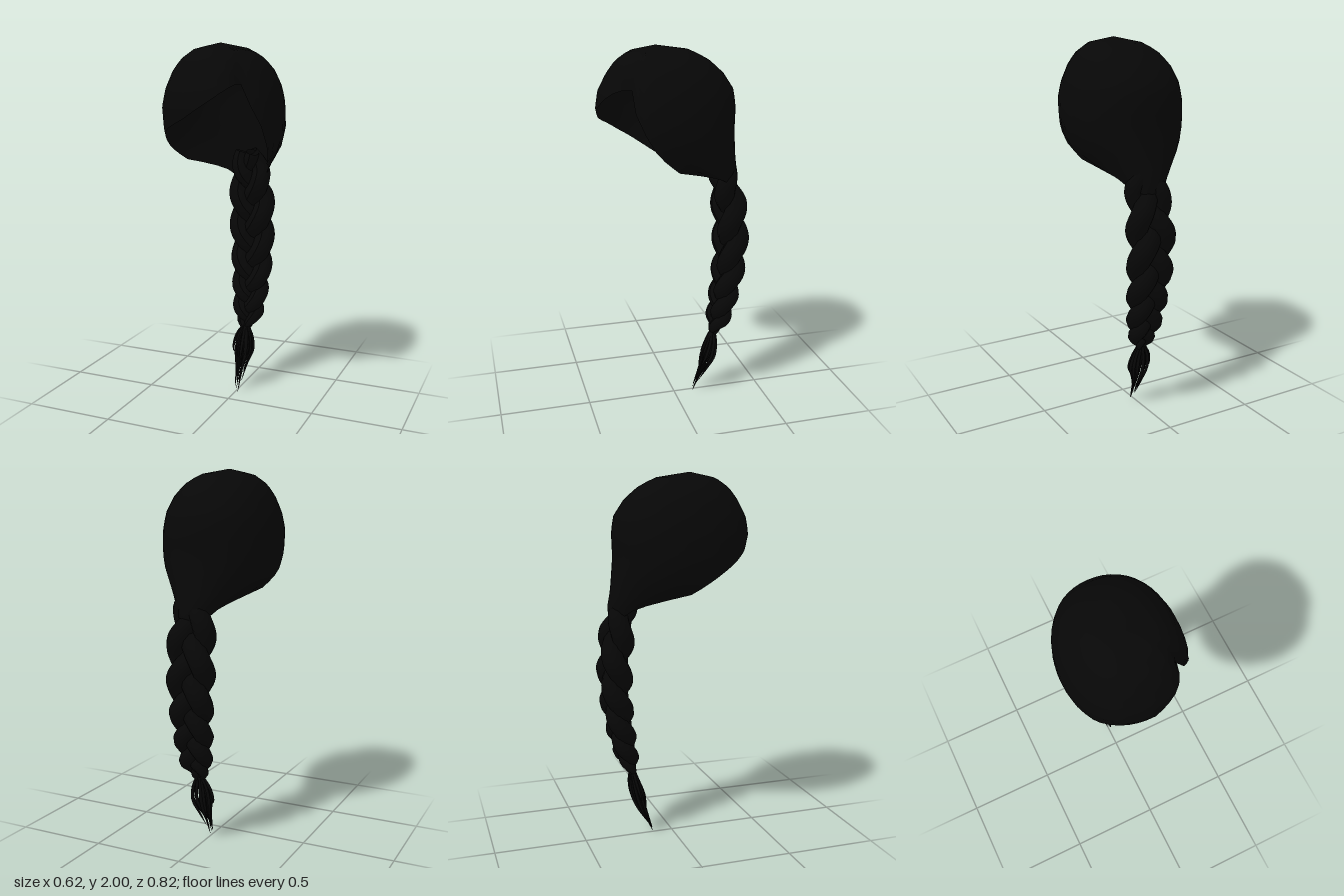
import * as THREE from 'three';

const hairBlack = new THREE.MeshStandardMaterial({ color: 0x070707, side: THREE.DoubleSide });
hairBlack.name = 'hair black';

// Linear lookup in rows sorted by ascending first column
function lookup(rows, key, col) {
  if (key <= rows[0][0]) return rows[0][col];
  for (let i = 1; i < rows.length; i++) {
    const a = rows[i - 1], b = rows[i];
    if (key <= b[0]) return a[col] + (b[col] - a[col]) * (key - a[0]) / (b[0] - a[0]);
  }
  return rows[rows.length - 1][col];
}

// Cap cross-sections: height, half width, front z, back z
const SECTIONS = [
  [1.24, 0.1, -0.12, -0.345], [1.3, 0.13, 0.0, -0.35], [1.38, 0.23, 0.4, -0.335],
  [1.46, 0.28, 0.38, -0.325], [1.56, 0.308, 0.385, -0.315], [1.68, 0.306, 0.412, -0.32],
  [1.77, 0.287, 0.398, -0.31], [1.86, 0.25, 0.35, -0.25], [1.92, 0.205, 0.305, -0.18],
  [1.97, 0.135, 0.235, -0.09], [2.0, 0, 0.1, 0.1],
];

// Hairline: angle from the front (towards +x), lowest height of the cap there
const HAIRLINE = [
  [-180, 1.24], [-125, 1.25], [-110, 1.3], [-90, 1.38], [-75, 1.44], [-60, 1.5], [-40, 1.57], [-15, 1.63],
  [0, 1.68], [20, 1.75], [35, 1.8], [46, 1.8], [55, 1.65], [70, 1.48], [90, 1.38], [110, 1.3],
  [125, 1.25], [180, 1.24],
];

function capPoint(deg, y) {
  const hw = lookup(SECTIONS, y, 1), zf = lookup(SECTIONS, y, 2), zb = lookup(SECTIONS, y, 3);
  const a = THREE.MathUtils.degToRad(deg);
  // Slightly squared plan, with a dent along the side parting that fades out towards the crown
  const fade = THREE.MathUtils.clamp((1.97 - y) / 0.15, 0, 1);
  const r = 1 + 0.035 * Math.sin(2 * a) ** 2 - 0.13 * fade * Math.exp(-(((deg - 47) / 9) ** 2));
  const cz = (zf + zb) / 2;
  return [hw * r * Math.sin(a) + 0.02 * Math.max(0, (1.4 - y) / 0.16), y, cz + (zf - zb) / 2 * r * Math.cos(a)];
}

function capGeometry() {
  const cols = 48, rows = 18, pos = [], idx = [];
  for (let j = 0; j <= rows; j++) {
    for (let i = 0; i < cols; i++) {
      const deg = -180 + 360 * i / cols;
      const y = 2 - (2 - lookup(HAIRLINE, deg, 1)) * (j / rows) ** 1.5;
      pos.push(...capPoint(deg, y));
    }
  }
  for (let j = 0; j < rows; j++) {
    for (let i = 0; i < cols; i++) {
      const a = j * cols + i, b = j * cols + (i + 1) % cols;
      if (j > 0) idx.push(a, b + cols, b);
      idx.push(a, a + cols, b + cols);
    }
  }
  const g = new THREE.BufferGeometry();
  g.setAttribute('position', new THREE.Float32BufferAttribute(pos, 3));
  g.setIndex(idx);
  g.computeVertexNormals();
  return g;
}

// Tube whose radius follows scale(centre point, t)
function taperedTube(points, segments, radius, sides, scale) {
  const curve = new THREE.CatmullRomCurve3(points);
  const g = new THREE.TubeGeometry(curve, segments, radius, sides);
  const p = g.attributes.position, v = new THREE.Vector3();
  for (let i = 0; i <= segments; i++) {
    const c = curve.getPointAt(i / segments), s = scale(c, i / segments);
    for (let k = 0; k <= sides; k++) {
      const n = i * (sides + 1) + k;
      v.fromBufferAttribute(p, n).sub(c).multiplyScalar(s).add(c);
      p.setXYZ(n, v.x, v.y, v.z);
    }
  }
  g.computeVertexNormals();
  return g;
}

// Braid centre line: height, x, z, thickness
const BRAID = [
  [0.35, 0.018, -0.225, 0.14], [0.4, 0.02, -0.235, 0.45], [0.46, 0.024, -0.255, 0.7], [0.6, 0.024, -0.285, 0.84],
  [0.8, 0.022, -0.315, 0.96], [1.0, 0.018, -0.32, 1.03], [1.15, 0.02, -0.305, 1.0], [1.28, 0.02, -0.275, 0.9],
  [1.4, 0.02, -0.25, 0.6],
];

// Height of each lobe on the -x side, and its number: lobes get shorter downwards
const LOBES = [[0.35, -1.4], [0.5, 0], [0.63, 1], [0.79, 2], [0.98, 3], [1.18, 4], [1.4, 5.1]];

function braidStrand(k) {
  const pts = [];
  for (let i = 0; i <= 60; i++) {
    const y = 1.4 - 1.05 * i / 60, s = lookup(BRAID, y, 3);
    const phase = Math.PI * 2 * ((lookup(LOBES, y, 1) + k) / 3 + 0.75);
    pts.push(new THREE.Vector3(
      lookup(BRAID, y, 1) + 0.073 * s * Math.sin(phase), y,
      lookup(BRAID, y, 2) + 0.027 * s * Math.sin(2 * phase)));
  }
  return taperedTube(pts, 120, 0.06, 10, c => lookup(BRAID, c.y, 3));
}

// Loose end: thin strands that bulge below the knot and thin out to ragged tips
function tuftStrand(i, count) {
  const a = i * 2.4, r = Math.sqrt((i + 0.5) / count);
  const x = Math.cos(a) * r, z = Math.sin(a) * r, end = 0.2 * ((i * 7) % count) / count;
  const pts = [
    new THREE.Vector3(0.018 + 0.01 * x, 0.385, -0.228 + 0.01 * z),
    new THREE.Vector3(0.016 + 0.056 * x, 0.31, -0.217 + 0.026 * z),
    new THREE.Vector3(0.016 + 0.068 * x, 0.23, -0.197 + 0.038 * z),
    new THREE.Vector3(0.012 + 0.042 * x, 0.13 + end * 0.4, -0.165 - end * 0.12 + 0.03 * z),
    new THREE.Vector3(0.01 + 0.024 * x, end, -0.11 - end * 0.35 + 0.008 * z),
  ];
  return taperedTube(pts, 14, 0.009, 5, (c, t) => 0.08 + 0.92 * Math.sin(Math.PI * Math.min(1, 0.2 + t * 0.8)));
}

export function createModel() {
  const model = new THREE.Group();
  model.name = 'braidedHair';
  const add = (geometry, name, parent = model) => {
    const mesh = new THREE.Mesh(geometry, hairBlack);
    mesh.name = name;
    parent.add(mesh);
  };

  add(capGeometry(), 'hairCap');

  const braid = new THREE.Group();
  braid.name = 'braid';
  for (let k = 0; k < 3; k++) add(braidStrand(k), 'braidStrand', braid);
  model.add(braid);

  const tuft = new THREE.Group();
  tuft.name = 'braidTuft';
  for (let i = 0; i < 20; i++) add(tuftStrand(i, 20), 'tuftStrand', tuft);
  model.add(tuft);

  return model;
}
